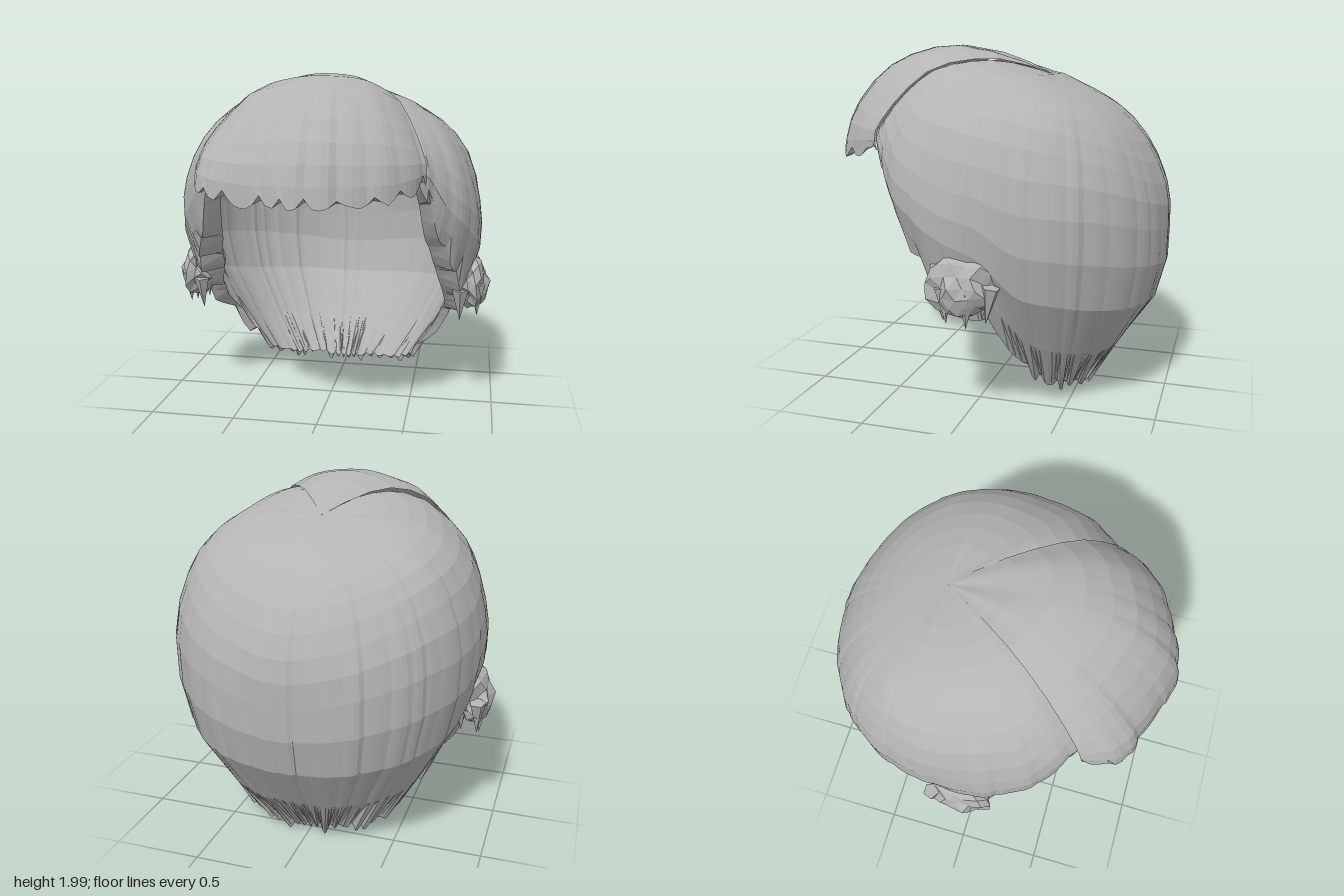
import * as THREE from 'three';

// Small seeded random generator
function seeded(seed) {
  let s = seed;
  return () => {
    s = (s * 16807) % 2147483647;
    return s / 2147483647;
  };
}

const CROWN_Y = 1.83, CROWN_Z = -0.3;

// Locks fall from the crown. Each key: angle from the front, then [distance from crown axis, height] down to the hem.
const FRINGE = [
  [-35, [[.27, 1.91], [.52, 1.93], [.74, 1.87], [.91, 1.76], [1.04, 1.64], [1.1, 1.55], [1.12, 1.49]]],
  [-27, [[.28, 1.92], [.54, 1.95], [.77, 1.91], [.96, 1.79], [1.1, 1.66], [1.2, 1.54], [1.23, 1.42]]],
  [-16, [[.28, 1.94], [.55, 1.98], [.79, 1.94], [.98, 1.83], [1.13, 1.67], [1.22, 1.52], [1.24, 1.38]]],
  [0, [[.29, 1.94], [.58, 2.0], [.82, 1.96], [1.02, 1.86], [1.18, 1.69], [1.26, 1.53], [1.29, 1.38]]],
  [20, [[.28, 1.94], [.55, 1.98], [.78, 1.94], [.96, 1.84], [1.11, 1.67], [1.18, 1.52], [1.2, 1.38]]],
  [35, [[.26, 1.91], [.5, 1.92], [.72, 1.87], [.88, 1.75], [1.0, 1.61], [1.05, 1.52], [1.04, 1.45]]],
];
const SIDE = [
  [32, [[.26, 1.9], [.5, 1.91], [.71, 1.86], [.87, 1.74], [.98, 1.61], [1.04, 1.52], [1.03, 1.46]]],
  [37, [[.26, 1.9], [.5, 1.91], [.72, 1.85], [.88, 1.73], [1.0, 1.58], [1.04, 1.45], [1.02, 1.34]]],
  [43, [[.26, 1.89], [.5, 1.9], [.72, 1.83], [.89, 1.69], [1.01, 1.5], [1.04, 1.3], [.98, 1.12]]],
  [50, [[.26, 1.88], [.5, 1.88], [.72, 1.8], [.9, 1.64], [1.01, 1.42], [1.03, 1.2], [.95, .97]]],
  [65, [[.25, 1.86], [.48, 1.84], [.68, 1.75], [.85, 1.58], [.95, 1.3], [.97, 1.03], [.87, .7]]],
  [78, [[.25, 1.84], [.47, 1.81], [.66, 1.72], [.82, 1.54], [.9, 1.25], [.89, .93], [.73, .52]]],
  [90, [[.24, 1.83], [.46, 1.78], [.65, 1.68], [.79, 1.5], [.87, 1.18], [.82, .74], [.51, .22]]],
  [105, [[.24, 1.8], [.45, 1.74], [.63, 1.64], [.75, 1.46], [.83, 1.15], [.77, .68], [.45, .13]]],
  [120, [[.23, 1.78], [.44, 1.7], [.6, 1.59], [.72, 1.41], [.79, 1.12], [.73, .64], [.38, .09]]],
  [150, [[.22, 1.75], [.42, 1.64], [.56, 1.5], [.67, 1.29], [.72, 1.03], [.67, .6], [.3, .07]]],
];
const BACK = [180, [[.22, 1.74], [.4, 1.62], [.55, 1.46], [.66, 1.23], [.68, .97], [.62, .58], [.24, .06]]];
const CAP = [...SIDE, BACK, ...SIDE.map(([a, p]) => [360 - a, p]).reverse()];

// Smooth profile curve at any angle: cubic blend through the neighbouring keys
function profileAt(keys, angle) {
  let k = 0;
  while (k < keys.length - 2 && keys[k + 1][0] < angle) k++;
  const [a0, p0] = keys[k], [a1, p1] = keys[k + 1];
  const [aPrev, pPrev] = keys[Math.max(k - 1, 0)];
  const [aNext, pNext] = keys[Math.min(k + 2, keys.length - 1)];
  const span = a1 - a0, f = (angle - a0) / span, f2 = f * f, f3 = f2 * f;
  const blend = (i, c) => {
    const m0 = (p1[i][c] - pPrev[i][c]) / (a1 - aPrev) * span;
    const m1 = (pNext[i][c] - p0[i][c]) / (aNext - a0) * span;
    return (2 * f3 - 3 * f2 + 1) * p0[i][c] + (f3 - 2 * f2 + f) * m0
      + (3 * f2 - 2 * f3) * p1[i][c] + (f3 - f2) * m1;
  };
  const pts = p0.map((_, i) => new THREE.Vector2(blend(i, 0), blend(i, 1)));
  return new THREE.SplineCurve([new THREE.Vector2(0, CROWN_Y), ...pts]);
}

// Thick shell of hair: outer rows down to the ragged hem, then lining rows back up
function hairShell(keys, columns, rows, seed, isFringe) {
  const rnd = seeded(seed);
  const start = keys[0][0], end = keys[keys.length - 1][0];
  const pos = [], index = [];
  let lift = 0, tooth = 0, width = 1, step = 1;
  for (let i = 0; i <= columns; i++) {
    // locks of uneven width, each with its own lift and pointed tip
    if (step >= width) {
      step = 0;
      width = 3 + Math.floor(rnd() * 4);
      lift = (rnd() - 0.5) * 0.025;
      tooth = 0.04 + rnd() * 0.04;
    }
    const u = i / columns;
    const angle = start + (end - start) * u;
    const curve = profileAt(keys, angle);
    const tip = 0.03 - tooth * Math.sin(Math.PI * step / width) + (rnd() - 0.5) * 0.02;
    const ridge = lift + 0.008 * Math.sin(Math.PI * step / width);
    step++;
    // the sides are much thicker than the back
    const fromSide = (Math.min(angle, 360 - angle) - 55) / 24;
    const bulk = isFringe ? 0 : 0.13 * Math.exp(-fromSide * fromSide);
    const edge = isFringe ? Math.min(1, 6 * Math.min(u, 1 - u)) : 1;
    const rad = THREE.MathUtils.degToRad(angle);
    for (let j = 0; j <= 2 * rows + 1; j++) {
      const inner = j > rows;
      const t = (inner ? 2 * rows + 1 - j : j) / rows;
      const p = curve.getPoint(t);
      let r = p.x * (1 + ridge * t);
      let y = p.y + (t === 1 ? tip * (inner ? 0.3 : 1) : 0);
      if (inner) {
        r *= 1 - (0.03 + bulk * t * t) * edge;
        y -= 0.025 * (1 - t) * edge;
      }
      pos.push(r * Math.sin(rad), y, CROWN_Z + r * Math.cos(rad));
    }
  }
  const n = 2 * rows + 2;
  for (let i = 0; i < columns; i++) {
    for (let j = 0; j < n - 1; j++) {
      const a = i * n + j, b = a + n;
      index.push(a, a + 1, b + 1, a, b + 1, b);
    }
  }
  const g = new THREE.BufferGeometry();
  g.setAttribute('position', new THREE.Float32BufferAttribute(pos, 3));
  g.setIndex(index);
  g.computeVertexNormals();
  return g;
}

// Bunched hair over each ear, with pointed locks below
function earTuft(material, side) {
  const tuft = new THREE.Group();
  tuft.name = side > 0 ? 'leftEarTuft' : 'rightEarTuft';
  const g = new THREE.IcosahedronGeometry(1, 2);
  const p = g.attributes.position;
  for (let i = 0; i < p.count; i++) {
    const x = p.getX(i), y = p.getY(i), z = p.getZ(i);
    const k = 1 + 0.22 * Math.sin(11 * z + 4 * y) * Math.cos(7 * x + 5 * y);
    p.setXYZ(i, side * (x * 0.12 * k - 0.03 * y), y * 0.17 * k, z * 0.18 * k);
  }
  // mirroring flips the faces, so swap two corners of each
  if (side < 0) {
    const a = new THREE.Vector3(), b = new THREE.Vector3();
    for (let i = 0; i < p.count; i += 3) {
      a.fromBufferAttribute(p, i);
      b.fromBufferAttribute(p, i + 1);
      p.setXYZ(i, b.x, b.y, b.z);
      p.setXYZ(i + 1, a.x, a.y, a.z);
    }
  }
  g.computeVertexNormals();
  const bunch = new THREE.Mesh(g, material);
  bunch.name = 'tuftBunch';
  bunch.position.set(side * 0.83, 0.79, -0.02);
  tuft.add(bunch);
  for (let i = 0; i < 6; i++) {
    const lock = new THREE.Mesh(new THREE.ConeGeometry(0.05, 0.2, 5), material);
    lock.name = 'tuftLock';
    lock.position.set(side * (0.79 + 0.1 * (i % 2)), 0.66 + 0.02 * (i % 3), 0.12 - i * 0.06);
    lock.rotation.set(0.15 - 0.06 * i, i, Math.PI);
    tuft.add(lock);
  }
  return tuft;
}

export function createModel() {
  const hair = new THREE.MeshStandardMaterial({ color: 0xb4b4b4, flatShading: true, side: THREE.DoubleSide });
  hair.name = 'hairGrey';
  const model = new THREE.Group();
  model.name = 'hair';

  const cap = new THREE.Mesh(hairShell(CAP, 140, 14, 71, false), hair);
  cap.name = 'backAndSides';
  const fringe = new THREE.Mesh(hairShell(FRINGE, 40, 11, 23, true), hair);
  fringe.name = 'fringe';
  model.add(cap, fringe, earTuft(hair, 1), earTuft(hair, -1));
  return model;
}
